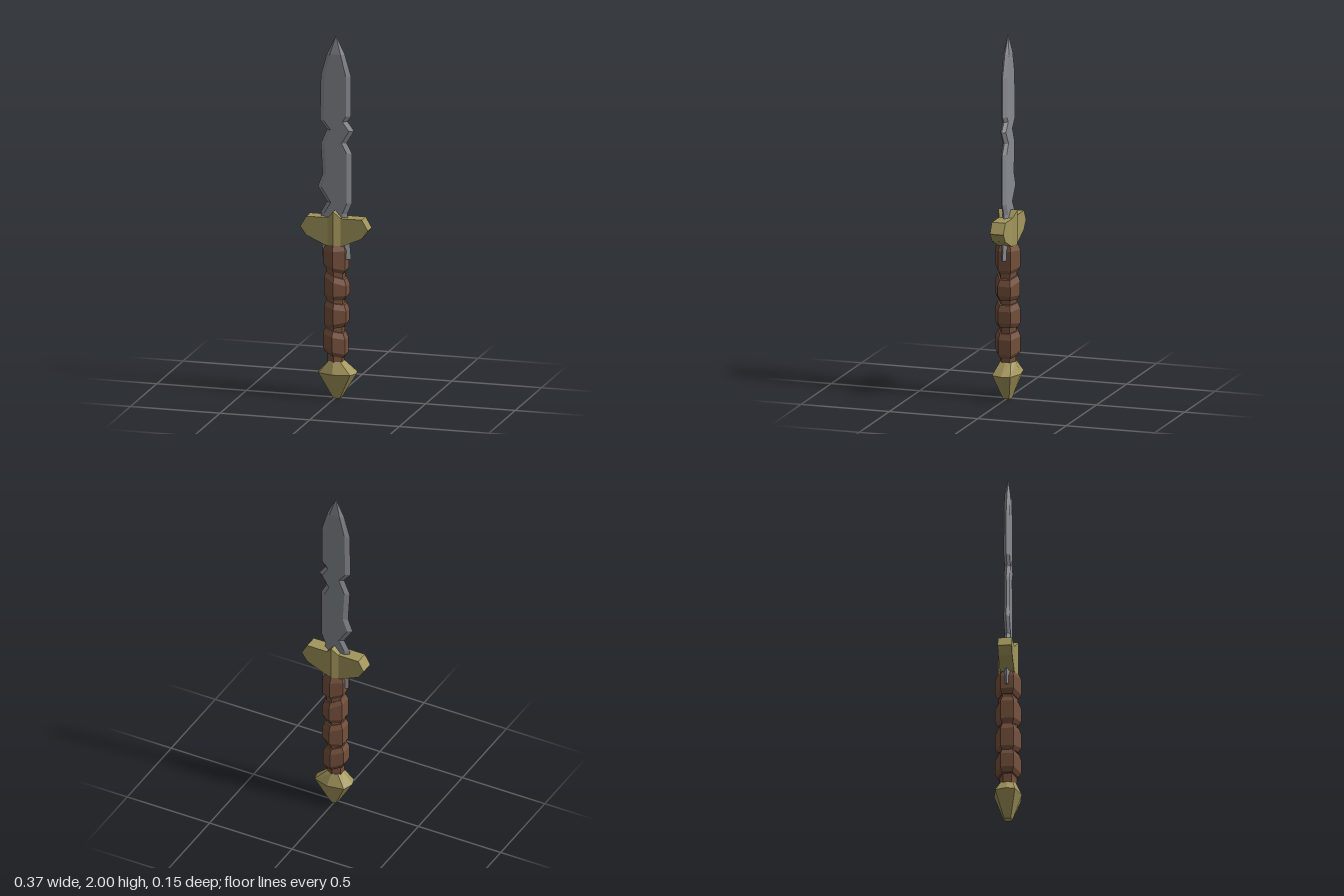
import * as THREE from 'three';

const material = (color) =>
  new THREE.MeshStandardMaterial({ color, flatShading: true, roughness: 0.8 });

// Skin a stack of equal-length rings (counter-clockwise seen from the far end), capped at both ends
function loft(name, rings, mat) {
  const pos = [];
  const n = rings[0].length;
  const tri = (a, b, c) => pos.push(...a, ...b, ...c);
  for (let r = 0; r < rings.length - 1; r++) {
    const a = rings[r], b = rings[r + 1];
    for (let i = 0; i < n; i++) {
      const j = (i + 1) % n;
      tri(a[i], a[j], b[j]);
      tri(a[i], b[j], b[i]);
    }
  }
  const first = rings[0], last = rings[rings.length - 1];
  for (let i = 1; i < n - 1; i++) {
    tri(first[0], first[i + 1], first[i]);
    tri(last[0], last[i], last[i + 1]);
  }
  const geometry = new THREE.BufferGeometry();
  geometry.setAttribute('position', new THREE.Float32BufferAttribute(pos, 3));
  geometry.computeVertexNormals();
  const mesh = new THREE.Mesh(geometry, mat);
  mesh.name = name;
  return mesh;
}

// Linear lookup of x at height y along an edge given as [x, y] points, bottom to top
function edgeAt(edge, y) {
  for (let i = 1; i < edge.length; i++) {
    const [x0, y0] = edge[i - 1], [x1, y1] = edge[i];
    if (y <= y1) return x0 + ((x1 - x0) * Math.max(0, y - y0)) / (y1 - y0);
  }
  return edge[edge.length - 1][0];
}

// Hexagonal ring with a corner facing the front; slope tilts it across x
function hexRing(y, r, cx = 0, slope = 0) {
  return Array.from({ length: 6 }, (_, i) => {
    const a = (i * Math.PI) / 3;
    const x = r * Math.sin(a);
    return [cx + x, y + slope * x, r * Math.cos(a)];
  });
}

export function createModel() {
  const model = new THREE.Group();
  model.name = 'dagger';
  const steel = material(0x878b91);
  const brass = material(0xa3965c);
  const leather = material(0x75503c);

  // Blade: chipped edges, bevelled on both sides, running down behind the guard
  const edgeR = [[0.085, 0.77], [0.065, 1.02], [0.09, 1.08], [0.09, 1.355], [0.06, 1.41],
    [0.102, 1.48], [0.065, 1.53], [0.085, 1.56], [0.085, 1.78], [0.05, 1.9], [0, 2]];
  const edgeL = [[-0.075, 0.77], [-0.085, 1.02], [-0.05, 1.08], [-0.102, 1.16], [-0.075, 1.23],
    [-0.085, 1.4], [-0.05, 1.48], [-0.09, 1.53], [-0.085, 1.78], [-0.05, 1.9], [0, 2]];
  const heights = [...new Set([...edgeL, ...edgeR].map((p) => p[1]))].sort((a, b) => a - b);
  model.add(loft('blade', heights.map((y) => {
    const l = edgeAt(edgeL, y), r = edgeAt(edgeR, y);
    const bevel = Math.min(0.025, (r - l) * 0.2);
    const t = y > 1.95 ? 0.002 : 0.016;
    const skew = 0.02; // slight twist across the width
    const p = (x, z) => [x, y, z + x * skew];
    return [p(l, 0), p(l + bevel, t), p(r - bevel, t), p(r, 0), p(r - bevel, -t), p(l + bevel, -t)];
  }), steel));

  // Guard: half profile of [x, top, bottom, half depth], mirrored, with a central ridge
  const half = [[0.035, 1.0, 0.845, 0.038], [0.055, 1.0, 0.85, 0.038],
    [0.155, 1.0, 0.895, 0.038], [0.187, 0.945, 0.94, 0.038]];
  const stations = [...half.map(([x, ...s]) => [-x, ...s]).reverse(),
    [0, 1.04, 0.845, 0.055], ...half];
  model.add(loft('guard', stations.map(([x, top, bottom, d]) =>
    [[x, bottom, -d], [x, top, -d], [x, top, d], [x, bottom, d]]), brass));

  // Grip: slim core with four tilted leather wraps
  const grip = new THREE.Group();
  grip.name = 'grip';
  grip.add(loft('gripCore', [hexRing(0.18, 0.046), hexRing(0.87, 0.054)], leather));
  // [bottom, top, centre x, bottom slope, top slope]
  const wraps = [
    [0.24, 0.375, -0.002, -0.3, -0.25],
    [0.393, 0.53, 0.004, 0.12, -0.2],
    [0.548, 0.68, 0.005, 0, -0.4],
    [0.705, 0.85, 0, -0.28, 0],
  ];
  wraps.forEach(([y0, y1, cx, s0, s1]) => grip.add(loft('gripWrap', [
    hexRing(y0, 0.056, cx, s0),
    hexRing(y0 + 0.025, 0.071, cx, s0),
    hexRing(y1 - 0.03, 0.071, cx, s1),
    hexRing(y1, 0.058, cx, s1),
  ], leather)));
  model.add(grip);

  // Pommel: uneven faceted gem, widest near its top
  const girdle = [[0, 0.074], [0.095, 0.058], [0.117, 0], [0.105, -0.048],
    [0.015, -0.077], [-0.08, -0.062], [-0.1, 0], [-0.085, 0.045]];
  const gemRing = (y, sx, sz, cx) => girdle.map(([x, z]) => [cx + x * sx, y, z * sz]);
  model.add(loft('pommel', [
    gemRing(0, 0.22, 0.33, 0.006),
    gemRing(0.14, 1, 1, 0),
    gemRing(0.205, 0.37, 0.6, -0.002),
  ], brass));

  return model;
}
